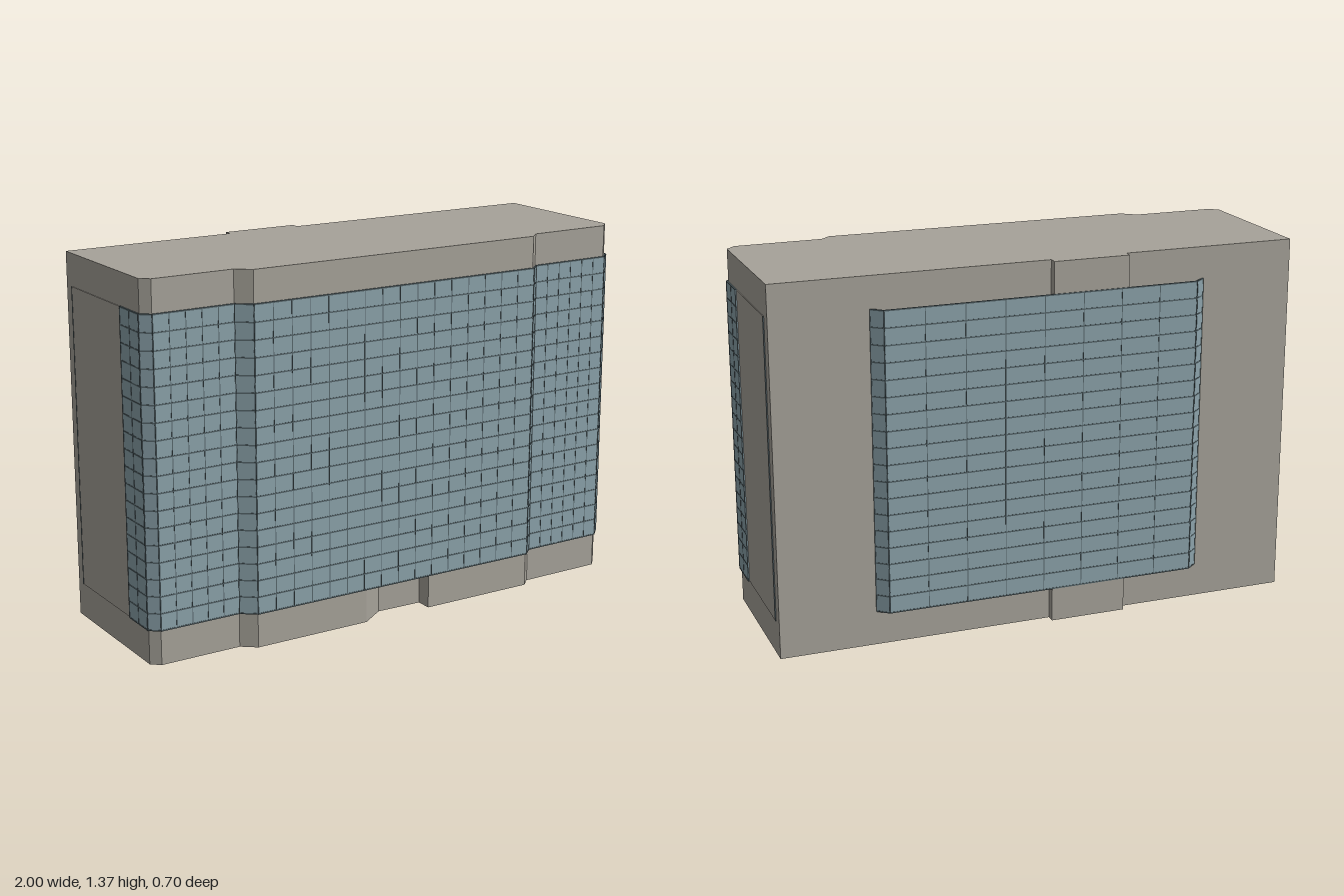
import * as THREE from 'three';

const stone = new THREE.MeshStandardMaterial({ color: 0xa6a299 });
stone.name = 'stone';
const glass = new THREE.MeshStandardMaterial({ color: 0x8ba2aa });
glass.name = 'glass';
const frame = new THREE.MeshStandardMaterial({ color: 0x56666b });
frame.name = 'frame';

const HEIGHT = 1.37, GLASS_BOTTOM = 0.13, GLASS_TOP = 1.25, FLOORS = 18;

// Extrudes a footprint of [x, z] points upward from y0 to y1
function prism(points, y0, y1) {
  const shape = new THREE.Shape(points.map(([x, z]) => new THREE.Vector2(x, -z)));
  const g = new THREE.ExtrudeGeometry(shape, { depth: y1 - y0, bevelEnabled: false });
  g.rotateX(-Math.PI / 2);
  g.translate(0, y0, 0);
  return g;
}

function add(parent, name, geometry, material) {
  const mesh = new THREE.Mesh(geometry, material);
  mesh.name = name;
  parent.add(mesh);
  return mesh;
}

// Moves an open path sideways by d with mitred corners
function offsetPath(path, d) {
  const normal = (a, b) => {
    const l = Math.hypot(b[0] - a[0], b[1] - a[1]);
    return [-(b[1] - a[1]) / l, (b[0] - a[0]) / l];
  };
  return path.map((p, i) => {
    const n1 = i > 0 ? normal(path[i - 1], p) : normal(p, path[1]);
    const n2 = i < path.length - 1 ? normal(p, path[i + 1]) : n1;
    const k = d / (1 + n1[0] * n2[0] + n1[1] * n2[1]);
    return [p[0] + (n1[0] + n2[0]) * k, p[1] + (n1[1] + n2[1]) * k];
  });
}

const ribbon = (path, outer, inner, y0, y1) =>
  prism([...offsetPath(path, outer), ...offsetPath(path, inner).reverse()], y0, y1);

// Glazed wall along a path, with floor rails and a number of bays per segment
function curtainWall(name, path, bays) {
  const group = new THREE.Group();
  group.name = name;
  add(group, 'glazing', ribbon(path, 0, -0.01, GLASS_BOTTOM, GLASS_TOP), glass);
  const rail = ribbon(path, 0.001, -0.004, 0, 0.005);
  const step = (GLASS_TOP - GLASS_BOTTOM) / FLOORS;
  for (let i = 0; i <= FLOORS; i++) {
    add(group, 'floorRail', rail, frame).position.y = GLASS_BOTTOM - 0.0025 + i * step;
  }
  const post = new THREE.BoxGeometry(0.003, GLASS_TOP - GLASS_BOTTOM, 0.002);
  bays.forEach((count, s) => {
    const [a, b] = [path[s], path[s + 1]];
    for (let i = 0; i <= count; i++) {
      const t = i / count;
      const mullion = add(group, 'mullion', post, frame);
      mullion.position.set(a[0] + (b[0] - a[0]) * t, (GLASS_BOTTOM + GLASS_TOP) / 2, a[1] + (b[1] - a[1]) * t);
      mullion.rotation.y = -Math.atan2(b[1] - a[1], b[0] - a[0]);
    }
  });
  return group;
}

export function createModel() {
  const model = new THREE.Group();
  model.name = 'officeBuilding';

  // Stone body: projecting centre and chamfered front corners
  const leftFront = [[-0.993, 0.265], [-0.96, 0.293], [-0.65, 0.293], [-0.597, 0.335]];
  const rightFront = [[0.588, 0.34], [0.625, 0.305], [0.955, 0.301], [0.99, 0.265]];
  const back = [[0.99, -0.312], [-0.04, -0.312], [-0.04, -0.344], [-0.33, -0.344], [-0.33, -0.312], [-0.993, -0.312]];
  const entrance = [[-0.14, 0.337], [-0.045, 0.272], [0.135, 0.277], [0.135, 0.338]];
  add(model, 'groundFloor', prism([...leftFront, ...entrance, ...rightFront, ...back], 0, 0.135), stone);
  add(model, 'tower', prism([...leftFront, ...rightFront, ...back], 0.135, HEIGHT), stone);

  // Front glazing wrapping around both corners
  model.add(curtainWall('frontGlazing', [
    [-0.998, 0.125], [-0.998, 0.268], [-0.962, 0.299], [-0.652, 0.299], [-0.599, 0.341],
    [0.59, 0.346], [0.627, 0.311], [0.957, 0.307], [0.997, 0.268], [0.997, 0.125],
  ], [2, 1, 5, 1, 16, 1, 6, 1, 2]));

  // Rear glazing standing off the wall
  model.add(curtainWall('rearGlazing', [
    [0.63, -0.312], [0.59, -0.346], [-0.6, -0.346], [-0.64, -0.312],
  ], [1, 8, 1]));

  // Plain side panels, each closed by a slim strip near the rear corner
  for (const x of [-0.993, 0.99]) {
    const h = GLASS_TOP - GLASS_BOTTOM, y = (GLASS_TOP + GLASS_BOTTOM) / 2;
    add(model, 'sidePanel', new THREE.BoxGeometry(0.006, h, 0.39), stone).position.set(x, y, -0.07);
    add(model, 'edgeStrip', new THREE.BoxGeometry(0.008, h, 0.004), frame).position.set(x, y, -0.266);
  }
  return model;
}
